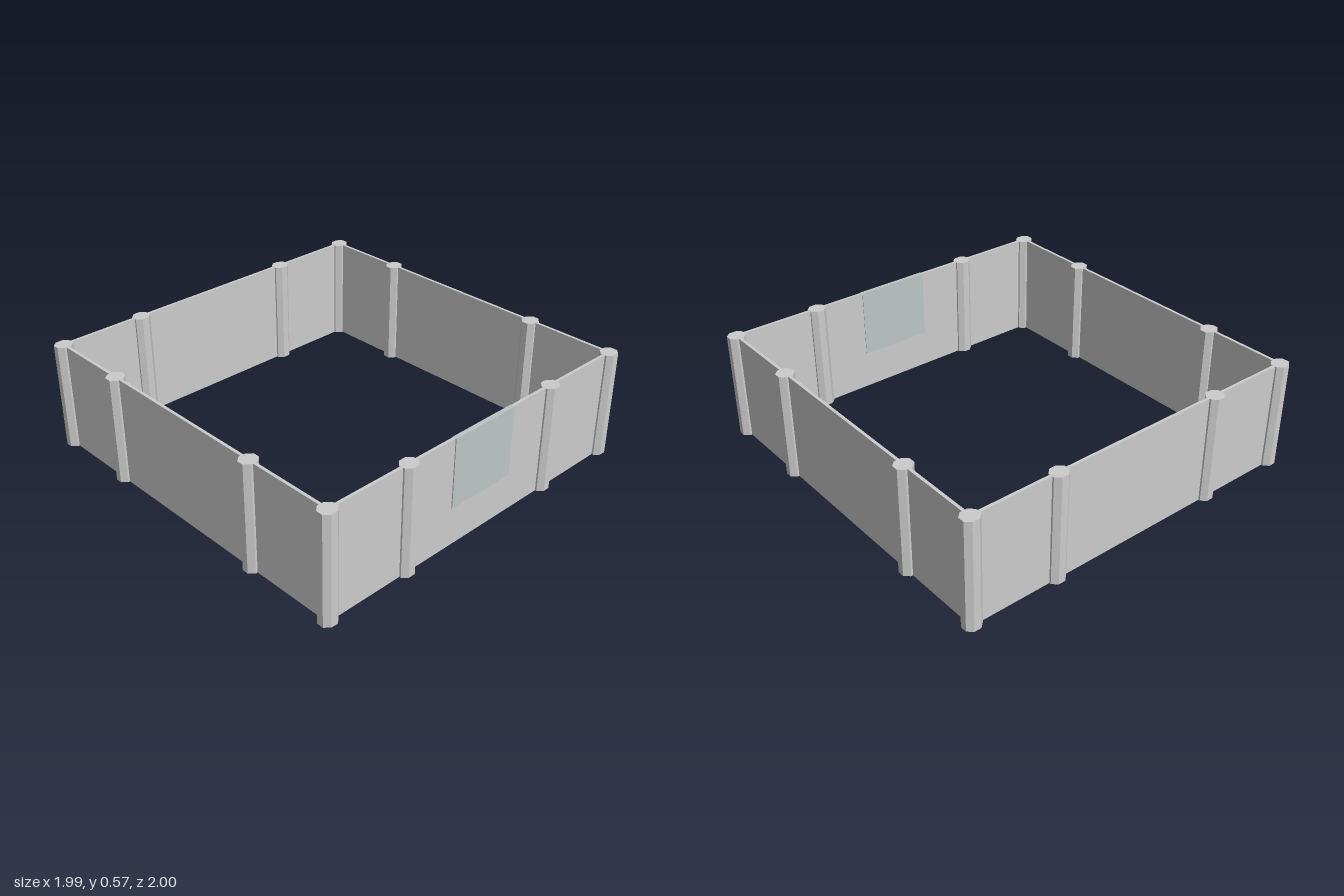
import * as THREE from 'three';

const H = 0.575;        // wall height
const X = 0.949;        // corner post centres
const Z = 0.9585;
const T = 0.016;        // wall thickness

export function createModel() {
  const group = new THREE.Group();
  const grey = new THREE.MeshStandardMaterial({ color: 0xcccccc, flatShading: true });
  const tinted = new THREE.MeshStandardMaterial({ color: 0xbcc6c6, flatShading: true });

  const add = (name, geometry, material, x, y, z) => {
    const mesh = new THREE.Mesh(geometry, material);
    mesh.name = name;
    mesh.position.set(x, y, z);
    group.add(mesh);
  };

  // Octagonal posts with flats facing the axes, slightly shallower in z
  const postGeometry = new THREE.CylinderGeometry(0.0487, 0.0487, H, 8);
  postGeometry.rotateY(Math.PI / 8).scale(1, 1, 0.92);
  for (const z of [-Z, Z]) {
    for (const x of [-X, X]) add('cornerPost', postGeometry, grey, x, H / 2, z);
    for (const x of [-0.482, 0.479]) add('wallPost', postGeometry, grey, x, H / 2, z);
  }
  for (const x of [-X, X]) {
    for (const z of [-0.504, 0.474]) add('wallPost', postGeometry, grey, x, H / 2, z);
  }

  // Plain side and back walls
  const sideGeometry = new THREE.BoxGeometry(T, H, 2 * Z);
  add('leftWall', sideGeometry, grey, X, H / 2, 0);
  add('rightWall', sideGeometry, grey, -X, H / 2, 0);
  add('backWall', new THREE.BoxGeometry(2 * X, H, T), grey, 0, H / 2, -Z);

  // Front wall, notched from the top to take the panel
  const P = 0.199, sill = 0.205;
  const outline = new THREE.Shape([
    [-X, 0], [X, 0], [X, H], [P, H], [P, sill], [-P, sill], [-P, H], [-X, H],
  ].map(([x, y]) => new THREE.Vector2(x, y)));
  const frontGeometry = new THREE.ExtrudeGeometry(outline, { depth: T, bevelEnabled: false });
  add('frontWall', frontGeometry, grey, 0, 0, Z - T / 2);

  // Tinted panel, a little thicker than the wall
  const panelGeometry = new THREE.BoxGeometry(2 * P, H - sill, 0.024);
  add('frontPanel', panelGeometry, tinted, 0, (H + sill) / 2, Z + 0.001);

  return group;
}
